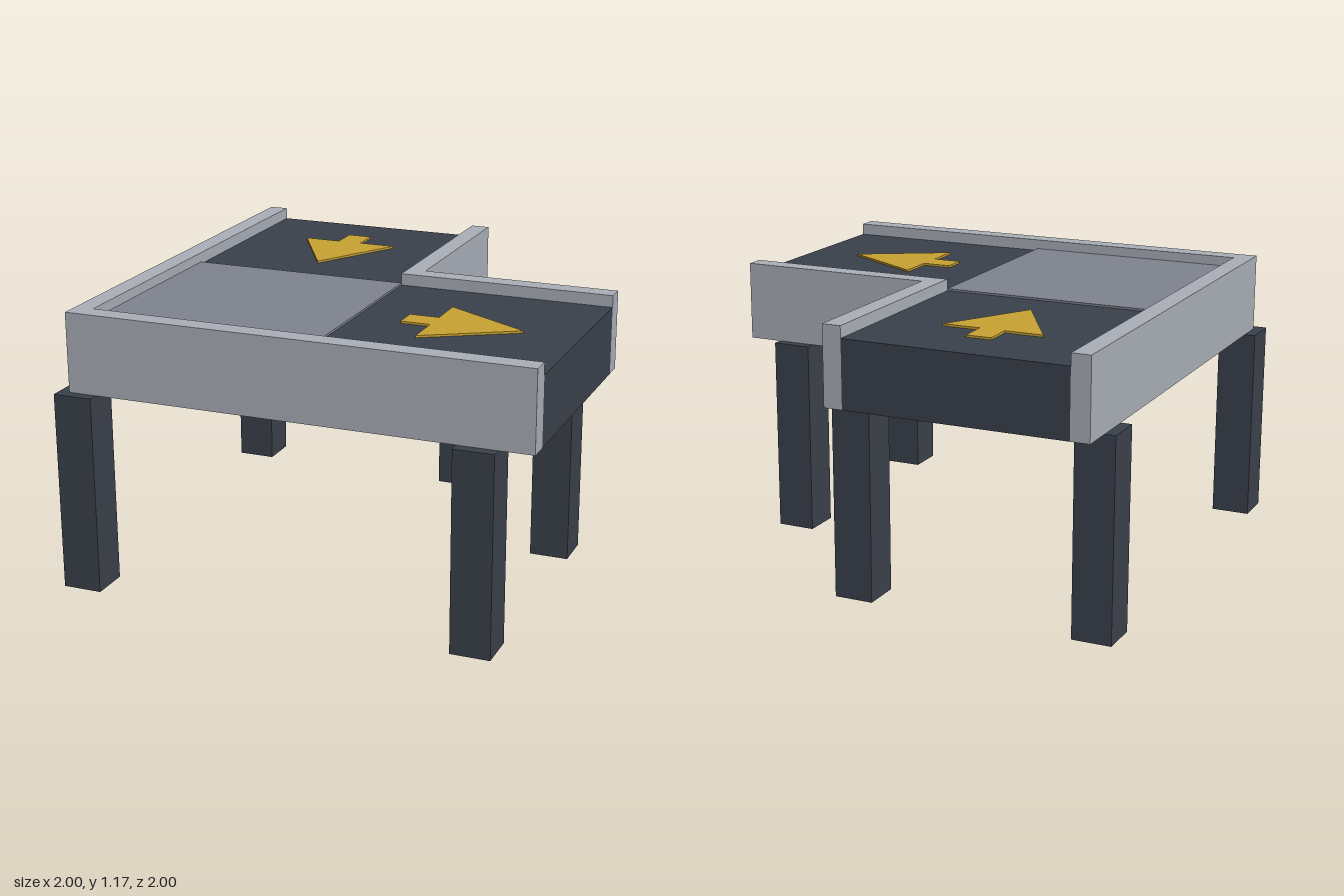
import * as THREE from 'three';

const mat = (name, color) => {
  const m = new THREE.MeshStandardMaterial({ color });
  m.name = name;
  return m;
};

export function createModel() {
  const group = new THREE.Group();
  const lightGrey = mat('lightGreyRail', 0xabb0b9);
  const midGrey = mat('greyPlate', 0x80848f);
  const dark = mat('darkSlate', 0x3b414c);
  const yellow = mat('yellowArrow', 0xc9a332);

  const legTop = 0.84, railTop = 1.175, bedTop = 1.125, plateTop = 1.134;

  // Box given by its extents on each axis
  const box = (name, material, [x0, x1], [y0, y1], [z0, z1]) => {
    const mesh = new THREE.Mesh(new THREE.BoxGeometry(x1 - x0, y1 - y0, z1 - z0), material);
    mesh.position.set((x0 + x1) / 2, (y0 + y1) / 2, (z0 + z1) / 2);
    mesh.name = name;
    group.add(mesh);
  };

  // Solid of an outline in plan (x, z), between two heights
  const slab = (name, material, outline, y0, y1) => {
    const shape = new THREE.Shape(outline.map(([x, z]) => new THREE.Vector2(x, -z)));
    const geo = new THREE.ExtrudeGeometry(shape, { depth: y1 - y0, bevelEnabled: false });
    geo.rotateX(-Math.PI / 2);
    const mesh = new THREE.Mesh(geo, material);
    mesh.position.y = y0;
    mesh.name = name;
    group.add(mesh);
    return mesh;
  };

  // L-shaped conveyor bed
  slab('beltBed', dark, [
    [-0.875, -1], [0.075, -1], [0.075, -0.08], [1, -0.08], [1, 0.87], [-0.875, 0.87],
  ], legTop, bedTop);

  // Transfer plate in the corner
  box('cornerPlate', midGrey, [-0.875, 0.075], [bedTop, plateTop], [-0.08, 0.87]);

  // Outer and inner side rails
  slab('outerRail', lightGrey, [
    [-0.955, -1], [-0.875, -1], [-0.875, 0.87], [1, 0.87], [1, 0.955], [-0.955, 0.955],
  ], legTop, railTop);
  slab('innerRail', lightGrey, [
    [0.075, -1], [0.155, -1], [0.155, -0.16], [1, -0.16], [1, -0.08], [0.075, -0.08],
  ], legTop, railTop);

  // Direction arrows, drawn along +x from the tail
  const arrow = [
    [0, -0.053], [0.125, -0.053], [0.125, -0.215], [0.495, 0],
    [0.125, 0.215], [0.125, 0.053], [0, 0.053],
  ];
  const outArrow = slab('outArrow', yellow, arrow, bedTop, plateTop);
  outArrow.position.set(0.275, bedTop, 0.397);
  const inArrow = slab('inArrow', yellow, arrow, bedTop, plateTop);
  inArrow.position.set(-0.4, bedTop, -0.775);
  inArrow.rotation.y = -Math.PI / 2;

  // Square legs
  const h = 0.083;
  for (const [x, z] of [
    [-0.917, 0.917], [0.775, 0.917], [0.775, -0.118], [-0.917, -0.775], [0.118, -0.775],
  ]) {
    box('leg', dark, [x - h, x + h], [0, legTop], [z - h, z + h]);
  }

  return group;
}
